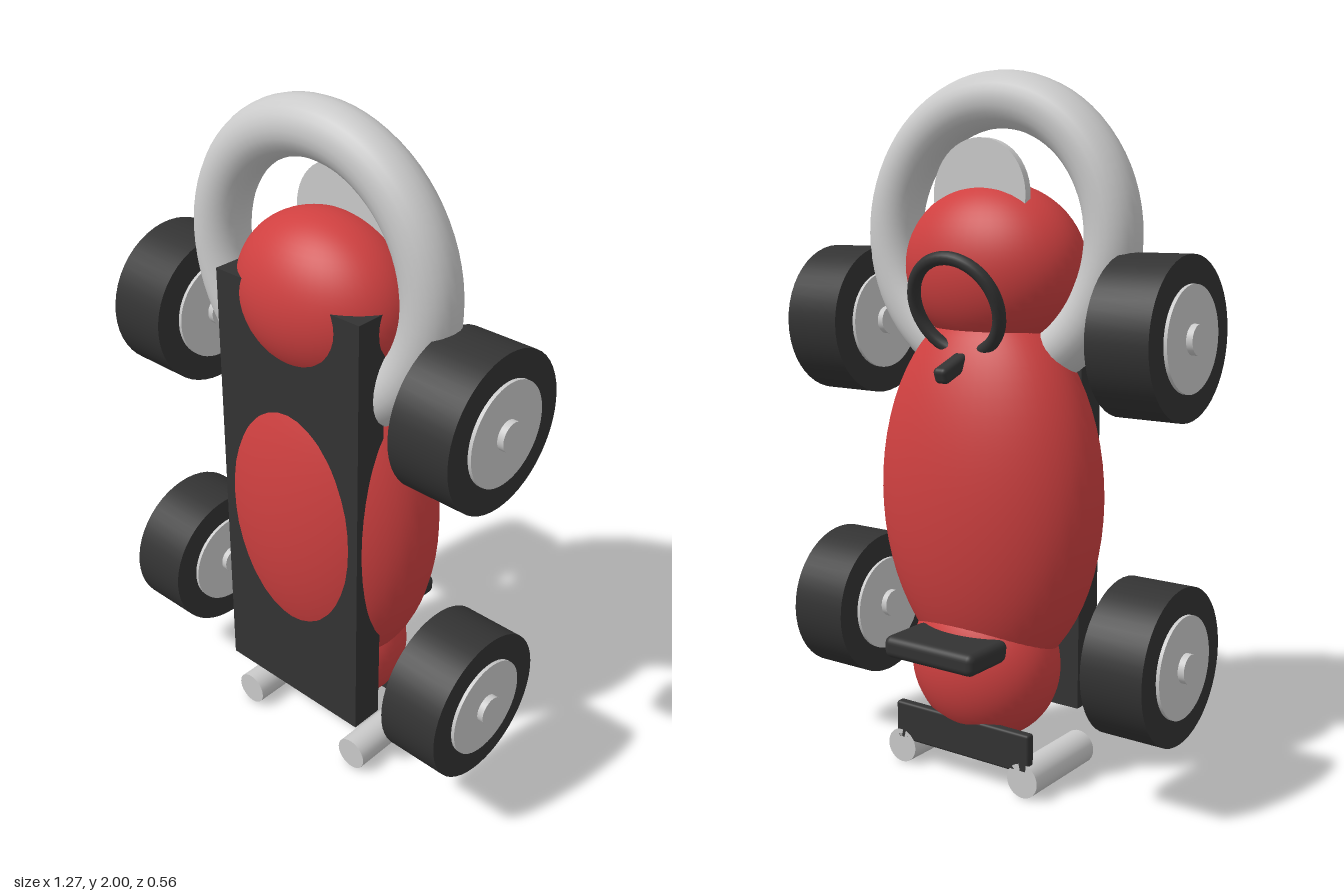
import * as THREE from 'three';
import { RoundedBoxGeometry } from 'three/addons/geometries/RoundedBoxGeometry.js';

const material = (name, color) => {
  const m = new THREE.MeshStandardMaterial({ color });
  m.name = name;
  return m;
};

export function createModel() {
  const red = material('red paint', 0xcf4040);
  const dark = material('dark rubber', 0x333333);
  const silver = material('silver metal', 0xcacaca);

  const model = new THREE.Group();
  model.name = 'uprightRacer';

  const add = (name, geometry, mat, x, y, z, parent = model) => {
    const mesh = new THREE.Mesh(geometry, mat);
    mesh.name = name;
    mesh.position.set(x, y, z);
    parent.add(mesh);
    return mesh;
  };

  // Body shells: scaled spheres
  const ellipsoid = (name, rx, ry, rz, y, z) =>
    add(name, new THREE.SphereGeometry(1, 48, 32).scale(rx, ry, rz), red, 0, y, z);
  ellipsoid('mainBody', 0.355, 0.545, 0.225, 0.82, 0.025);
  ellipsoid('upperBody', 0.28, 0.236, 0.195, 1.464, 0.045);
  ellipsoid('lowerBody', 0.235, 0.23, 0.175, 0.33, 0);

  // Chassis plate
  add('chassisPlate', new THREE.BoxGeometry(0.51, 1.315, 0.1), dark, 0, 0.8575, 0.15);

  // Large ring and the disc inside it
  add('ring', new THREE.TorusGeometry(0.371, 0.079, 24, 72), silver, 0, 1.55, 0.065);
  add('disc', new THREE.CylinderGeometry(0.155, 0.155, 0.025, 48).rotateX(Math.PI / 2),
    silver, 0, 1.66, -0.02);

  // Wheels: tyre, hub and axle as nested cylinders
  const wheelParts = [
    ['tyre', 0.219, 0.185, dark],
    ['hub', 0.143, 0.205, silver],
    ['axle', 0.041, 0.242, silver],
  ];
  for (const [end, y] of [['upper', 1.293], ['lower', 0.41]]) {
    for (const side of [-1, 1]) {
      const wheel = new THREE.Group();
      wheel.name = end + (side > 0 ? 'LeftWheel' : 'RightWheel');
      wheel.position.set(side * 0.513, y, 0.06);
      model.add(wheel);
      for (const [name, r, width, mat] of wheelParts) {
        add(name, new THREE.CylinderGeometry(r, r, width, 48).rotateZ(Math.PI / 2), mat, 0, 0, 0, wheel);
      }
    }
  }

  // Exhaust pipes with the bumper across them
  for (const side of [-1, 1]) {
    add(side > 0 ? 'leftExhaust' : 'rightExhaust',
      new THREE.CylinderGeometry(0.05, 0.05, 0.3, 32).rotateX(Math.PI / 2),
      silver, side * 0.215, 0.05, 0.025);
  }
  add('bumper', new RoundedBoxGeometry(0.47, 0.115, 0.03, 3, 0.008), dark, 0, 0.128, -0.11);

  // Seat-like ledge on the back
  add('ledge', new RoundedBoxGeometry(0.31, 0.064, 0.18, 4, 0.022), dark, 0, 0.41, -0.19);

  // Tilted steering wheel and its short stub
  const steering = new THREE.Group();
  steering.name = 'steering';
  steering.position.set(0, 1.363, -0.137);
  steering.rotation.x = -0.35;
  model.add(steering);
  add('steeringWheel', new THREE.TorusGeometry(0.14, 0.019, 16, 48), dark, 0, 0, 0, steering);
  add('steeringStub', new RoundedBoxGeometry(0.046, 0.046, 0.18, 4, 0.014), dark, 0, -0.15, -0.045, steering);

  return model;
}
